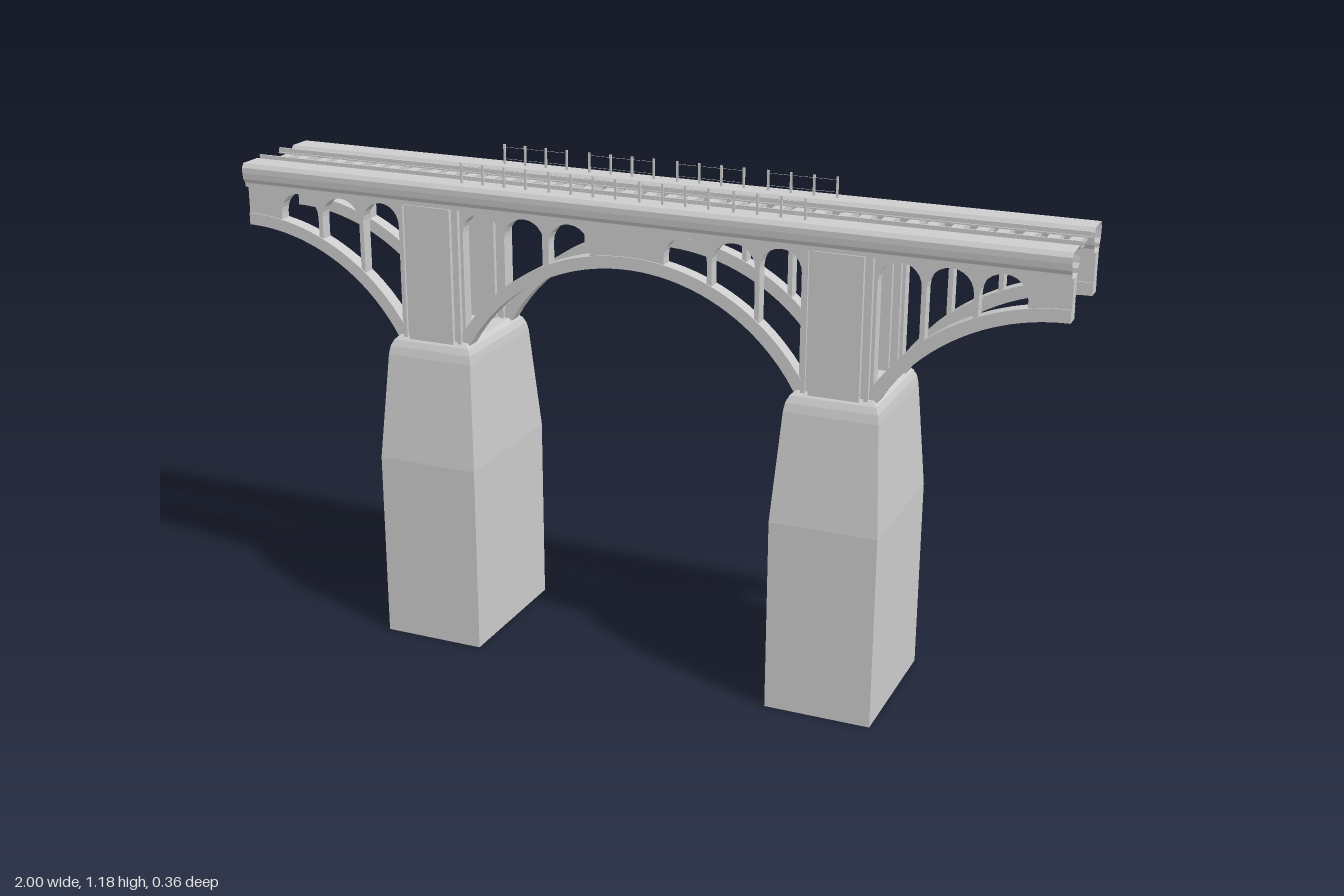
import * as THREE from 'three';

const MID = 0.0085;      // centre of the main span
const HALF = 0.4965;     // crown to pier centre
const SIDE_Z = 0.107;    // distance of each arcade from the centre line
const CENTRE_Y = 0.52;   // centre of the arch circles
const R_IN = 0.465, R_OUT = 0.494;

// Flat-sided skin through rings of [x, y, z], with optional end caps
function loft(rings, capped) {
  const pos = [];
  const tri = (...p) => p.forEach((v) => pos.push(...v));
  const n = rings[0].length;
  for (let i = 0; i < rings.length - 1; i++) {
    for (let j = 0; j < n; j++) {
      const k = (j + 1) % n;
      const a = rings[i][j], b = rings[i][k], c = rings[i + 1][k], d = rings[i + 1][j];
      tri(a, b, c);
      tri(a, c, d);
    }
  }
  if (capped) {
    const lo = rings[0], hi = rings[rings.length - 1];
    for (let j = 1; j < n - 1; j++) {
      tri(lo[0], lo[j + 1], lo[j]);
      tri(hi[0], hi[j], hi[j + 1]);
    }
  }
  const g = new THREE.BufferGeometry();
  g.setAttribute('position', new THREE.Float32BufferAttribute(pos, 3));
  g.computeVertexNormals();
  return g;
}

// Points along an arch circle between two distances from the crown
function arc(r, u0, u1, steps) {
  return Array.from({ length: steps + 1 }, (_, i) => {
    const u = u0 + ((u1 - u0) * i) / steps;
    return [u, CENTRE_Y + Math.sqrt(r * r - u * u)];
  });
}

// Extrudes an outline centred on z
function slab(shape, depth) {
  const g = new THREE.ExtrudeGeometry(shape, { depth, bevelEnabled: false });
  g.translate(0, 0, -depth / 2);
  return g;
}

export function createModel() {
  const root = new THREE.Group();
  // Double-sided because the deck beams are open-ended shells
  const stone = new THREE.MeshStandardMaterial({ color: 0xcccccc, side: THREE.DoubleSide });
  stone.name = 'grey stone';

  function add(parent, name, geometry, x = 0, y = 0, z = 0) {
    const m = new THREE.Mesh(geometry, stone);
    m.name = name;
    m.position.set(x, y, z);
    parent.add(m);
    return m;
  }
  const box = (parent, name, w, h, d, x, y, z) =>
    add(parent, name, new THREE.BoxGeometry(w, h, d), x, y, z);

  function group(name) {
    const g = new THREE.Group();
    g.name = name;
    root.add(g);
    return g;
  }

  // Piers: straight base, tapering shaft, rounded shoulder
  const levels = [
    [0.126, 0.18, 0], [0.126, 0.18, 0.46], [0.109, 0.152, 0.715],
    [0.106, 0.147, 0.735], [0.099, 0.14, 0.75], [0.088, 0.13, 0.76],
  ];
  const pierGeometry = loft(levels.map(([a, b, y]) =>
    [[a, y, b], [a, y, -b], [-a, y, -b], [-a, y, b]]), true);
  for (const s of [-1, 1]) add(root, 'pier', pierGeometry, MID + s * HALF);

  // Half of one arch, running from its crown in direction dir
  const bays = [[0.09, 0.193], [0.204, 0.305], [0.316, 0.412]];
  function halfArch(parent, crownX, dir, z) {
    const place = ([u, y]) => new THREE.Vector2(crownX + dir * u, y);
    const outline = [...arc(R_IN + 0.01, 0, 0.415, 20), [0.43, 0.78], [0.43, 1.08], [0, 1.08]];
    const wall = new THREE.Shape(outline.map(place));
    for (const [a, b] of bays) {
      const r = (b - a) / 2, c = (a + b) / 2, spring = 1.073 - r;
      const hole = arc(R_OUT - 0.006, a, b, 6);
      for (let i = 0; i <= 12; i++) {
        const t = (Math.PI * i) / 12;
        hole.push([c + r * Math.cos(t), spring + r * Math.sin(t)]);
      }
      wall.holes.push(new THREE.Path(hole.map(place)));
    }
    add(parent, 'spandrelWall', slab(wall, 0.03), 0, 0, z);

    const ring = [...arc(R_IN, 0, 0.406, 20), ...arc(R_OUT, 0.43, 0, 20)];
    add(parent, 'archRing', slab(new THREE.Shape(ring.map(place)), 0.036), 0, 0, z);
  }

  // Deck edge beam: moulded hollow profile with open ends, as [z, y]
  const profile = [
    [0.027, 1.08], [-0.027, 1.08], [-0.027, 1.09], [-0.034, 1.1], [-0.036, 1.115],
    [-0.036, 1.128], [-0.029, 1.138], [0.029, 1.138], [0.036, 1.128], [0.036, 1.115],
    [0.034, 1.1], [0.027, 1.09],
  ];
  const beamGeometry = loft([-0.9845, 1].map((x) => profile.map(([z, y]) => [x, y, z])), false);

  for (const s of [-1, 1]) {
    const z = s * SIDE_Z;
    const side = group(s > 0 ? 'frontArcade' : 'backArcade');
    halfArch(side, MID, -1, z);
    halfArch(side, MID, 1, z);
    halfArch(side, MID - 2 * HALF, 1, z);
    halfArch(side, MID + 2 * HALF, -1, z);
    add(side, 'deckBeam', beamGeometry, 0, 0, z);

    // Columns over the piers: raised panel between two narrow edge strips
    for (const p of [-1, 1]) {
      const x = MID + p * HALF;
      box(side, 'columnCore', 0.148, 0.33, 0.039, x, 0.915, z);
      box(side, 'columnPanel', 0.116, 0.325, 0.061, x, 0.9175, z);
      for (const e of [-1, 1]) {
        box(side, 'columnEdgeStrip', 0.01, 0.325, 0.052, x + e * 0.072, 0.9175, z);
      }
    }

    // Fence in four lengths, four posts each
    const fence = group(s > 0 ? 'frontFence' : 'backFence');
    for (let f = 0; f < 4; f++) {
      const x0 = -0.41 + f * 0.222;
      for (let i = 0; i < 4; i++) {
        box(fence, 'fencePost', 0.005, 0.056, 0.004, x0 + i * 0.0545, 1.157, z);
      }
      for (const y of [1.15, 1.178]) {
        box(fence, 'fenceWire', 0.1635, 0.0007, 0.0007, x0 + 0.08175, y, z);
      }
    }
  }

  // Track: slightly uneven sleepers between the beams, with two rails
  const track = group('track');
  const count = 39;
  for (let i = 0; i < count; i++) {
    const x = -0.965 + (1.94 * i) / (count - 1) + 0.003 * Math.sin(i * 4.1);
    const sleeper = box(track, 'sleeper', 0.026, 0.014, 0.14, x, 1.118, 0);
    sleeper.rotation.y = 0.04 * Math.sin(i * 2.4);
  }
  for (const s of [-1, 1]) {
    box(track, 'railFoot', 2, 0.003, 0.013, 0, 1.1265, s * 0.042);
    box(track, 'railHead', 2, 0.012, 0.005, 0, 1.132, s * 0.042);
  }
  return root;
}
